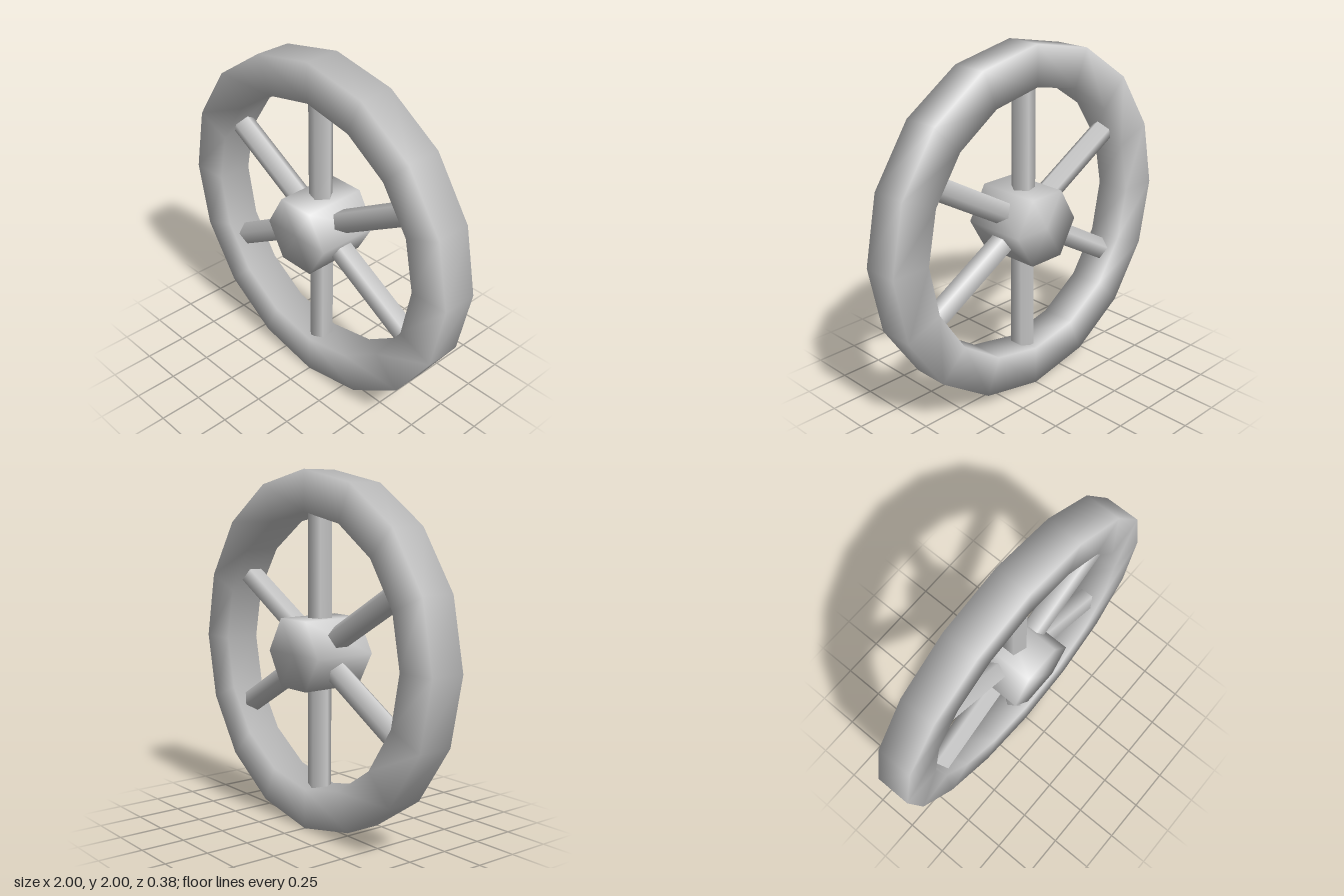
import * as THREE from 'three';
import { mergeVertices } from 'three/addons/utils/BufferGeometryUtils.js';

const material = new THREE.MeshStandardMaterial({ color: 0xcccccc });

// Weld all corners so shading flows smoothly over the low-poly shape
function soften(geometry) {
  geometry.deleteAttribute('normal');
  geometry.deleteAttribute('uv');
  const welded = mergeVertices(geometry, 1e-4);
  welded.computeVertexNormals();
  return welded;
}

function addPart(parent, name, geometry) {
  const mesh = new THREE.Mesh(geometry, material);
  mesh.name = name;
  parent.add(mesh);
  return mesh;
}

export function createModel() {
  const model = new THREE.Group();
  model.name = 'wheel';

  // Parts are built round the axle, then lifted to stand on the ground
  const wheel = new THREE.Group();
  wheel.name = 'wheelAssembly';
  wheel.position.y = 1;
  model.add(wheel);

  // Rim: rectangular section swept in 16 steps
  const outer = 1, inner = 0.773, half = 0.104;
  const section = [[outer, -half], [outer, half], [inner, half], [inner, -half], [outer, -half]]
    .map(([r, h]) => new THREE.Vector2(r, h));
  const rim = soften(new THREE.LatheGeometry(section, 16).rotateX(Math.PI / 2));
  addPart(wheel, 'rim', rim).position.z = -0.005;

  // Hub: hexagonal block with corners to the left and right
  const hub = new THREE.CylinderGeometry(0.222, 0.222, 0.376, 6)
    .rotateY(Math.PI / 2)
    .rotateX(Math.PI / 2);
  addPart(wheel, 'hub', soften(hub)).position.z = 0.003;

  // Six five-sided spokes running from inside the hub into the rim
  const from = 0.1, to = 0.82;
  const spoke = new THREE.CylinderGeometry(0.069, 0.069, to - from, 5)
    .rotateY(Math.PI / 2)
    .translate(0, (from + to) / 2, 0);
  for (let i = 0; i < 6; i++) {
    addPart(wheel, `spoke${i + 1}`, spoke).rotation.z = (i * Math.PI) / 3;
  }

  return model;
}
